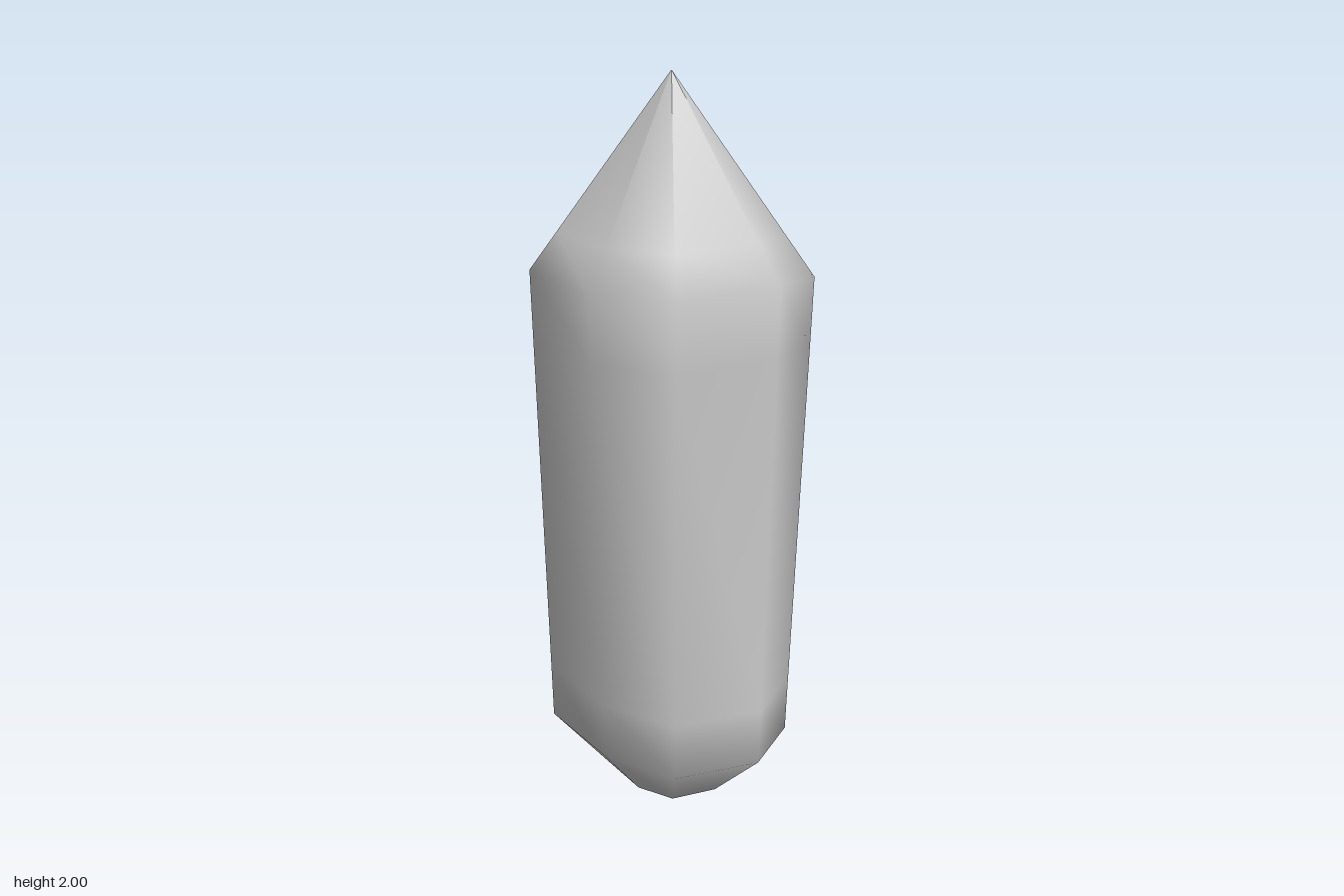
import * as THREE from 'three';

// Shoulder corners [x, y, z], clockwise from above: left side, back, right side, front
const shoulder = [
  [-0.36, 1.44, -0.01], [-0.275, 1.5, -0.226], [-0.19, 1.36, -0.222], [-0.04, 1.465, -0.286],
  [0.1, 1.46, -0.263], [0.285, 1.5, -0.23], [0.36, 1.53, -0.015], [0.25, 1.52, 0.228],
  [0.015, 1.5, 0.283], [-0.27, 1.5, 0.22],
].map(p => new THREE.Vector3(...p));
const N = shoulder.length;
const apex = new THREE.Vector3(0.01, 2, -0.004);

// Shoulder outline scaled down to a given height
const outline = (y, sx, sz, dx = 0, dz = 0) =>
  shoulder.map(p => new THREE.Vector3(p.x * sx + dx, y, p.z * sz + dz));
const blend = (a, b, t) => a.map((p, i) => p.clone().lerp(b[i], t));

// Skin between stacked rings; keep(i) selects the segments to build
function skin(name, rings, keep, flat = false) {
  const index = [];
  for (let r = 0; r < rings.length - 1; r++) {
    for (let i = 0; i < N; i++) {
      if (!keep(r, i)) continue;
      const j = (i + 1) % N, lo = r * N, hi = lo + N;
      index.push(lo + i, hi + i, hi + j, lo + i, hi + j, lo + j);
    }
  }
  let geo = new THREE.BufferGeometry().setFromPoints(rings.flat());
  geo.setIndex(index);
  if (flat) geo = geo.toNonIndexed();
  geo.computeVertexNormals();
  const mesh = new THREE.Mesh(geo, new THREE.MeshStandardMaterial({ color: 0xcccccc }));
  mesh.name = name;
  return mesh;
}

export function createModel() {
  const group = new THREE.Group();
  group.name = 'crystal';

  const tip = Array.from({ length: N }, () => new THREE.Vector3(0.005, 0, 0));
  const top = Array.from({ length: N }, () => apex.clone());
  const lower = outline(0.075, 0.45, 0.47, 0.007, -0.006);
  const base = outline(0.235, 0.915, 0.87, 0.005, 0.012);

  // Segments of the point cut as sharp facets: left side and back left
  const leftFacet = i => i === 0 || i === N - 1;
  const backFacet = i => i >= 1 && i <= 3;

  // Softly shaded shaft, rounded foot and the rest of the point
  const rings = [tip, lower, base, blend(base, shoulder, 0.12), blend(base, shoulder, 0.86),
    shoulder, blend(shoulder, top, 0.2), top];
  group.add(skin('crystalBody', rings, (r, i) => r < 5 || !(leftFacet(i) || backFacet(i))));

  // Sharp facets of the point
  group.add(skin('leftFacet', [shoulder, top], (r, i) => leftFacet(i), true));
  group.add(skin('backFacet', [shoulder, top], (r, i) => backFacet(i)));
  return group;
}
